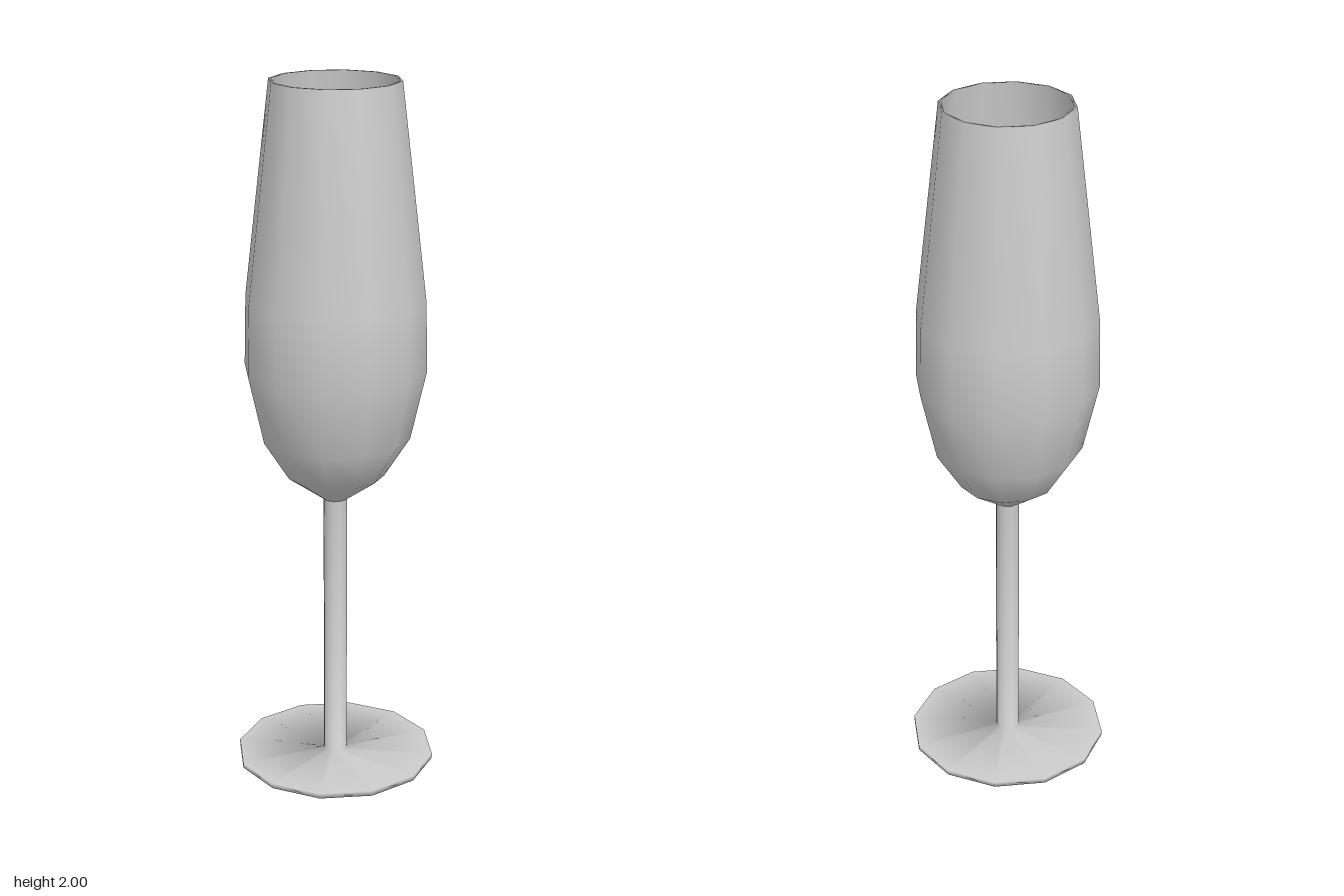
import * as THREE from 'three';

const SIDES = 12;

// Revolve a [radius, height] profile, listed so that it faces outwards
function lathe(name, profile, material) {
  const points = profile.map(([r, y]) => new THREE.Vector2(r, y));
  const mesh = new THREE.Mesh(new THREE.LatheGeometry(points, SIDES), material);
  mesh.name = name;
  return mesh;
}

export function createModel() {
  const group = new THREE.Group();
  group.name = 'champagneFlute';
  const material = new THREE.MeshStandardMaterial({ color: 0xcccccc });

  // Thin disc foot flowing into the slim stem
  group.add(lathe('footAndStem', [
    [0, 0], [0.29, 0], [0.29, 0.015], [0.034, 0.015], [0.034, 0.81],
  ], material));

  // Bowl: outer wall up to the rim, then the inner wall back down
  group.add(lathe('bowl', [
    [0.034, 0.81], [0.14, 0.885], [0.213, 1.0], [0.258, 1.2], [0.253, 1.4], [0.182, 2.0],
    [0.174, 2.0], [0.245, 1.4], [0.25, 1.2], [0.205, 1.003], [0.135, 0.892], [0.032, 0.82], [0, 0.82],
  ], material));

  return group;
}
